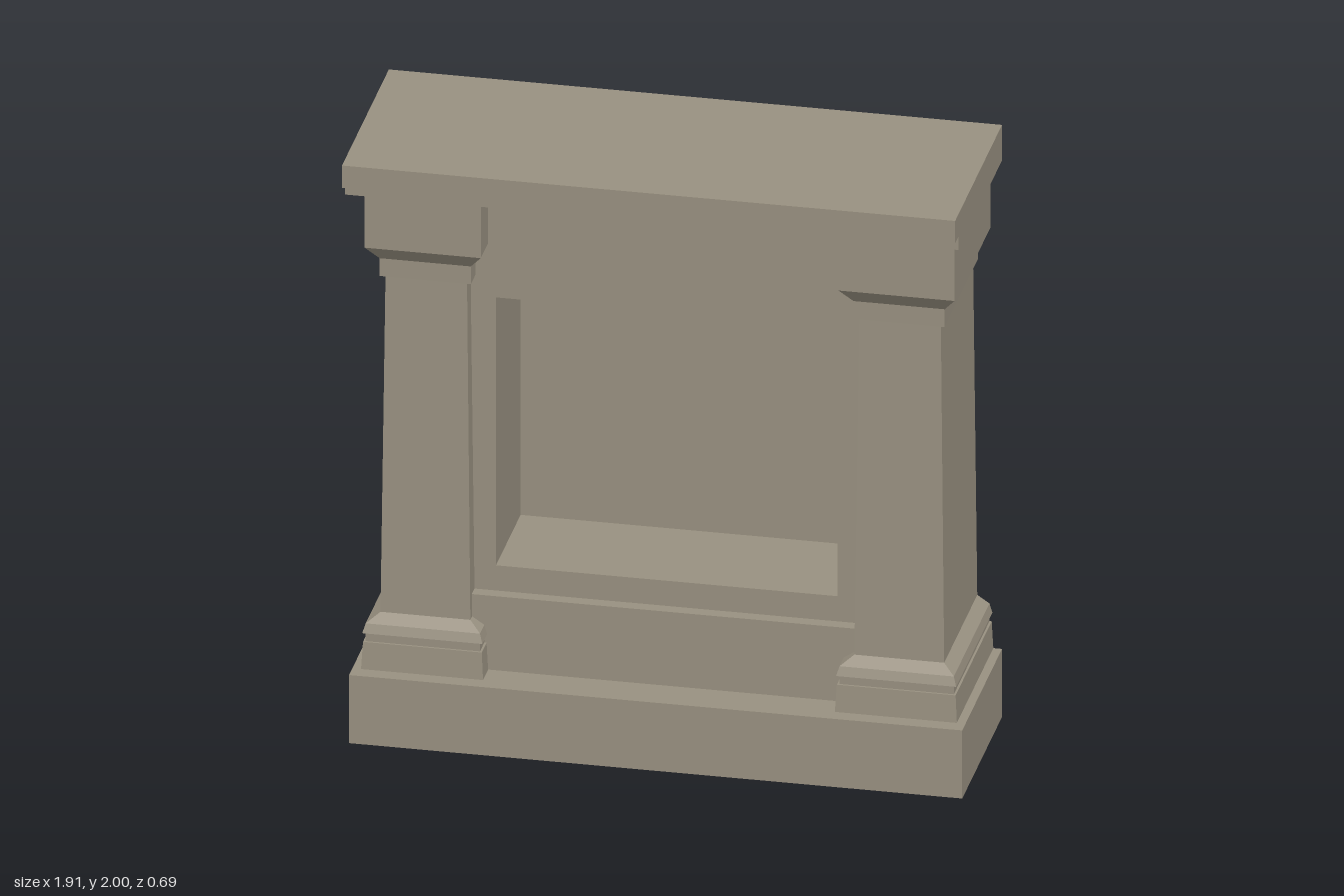
import * as THREE from 'three';

const BACK = -0.345;
const stone = new THREE.MeshStandardMaterial({ color: 0x989080, flatShading: true });

// Box given by its limits on each axis
function block(name, x0, x1, y0, y1, z0, z1) {
  const mesh = new THREE.Mesh(new THREE.BoxGeometry(x1 - x0, y1 - y0, z1 - z0), stone);
  mesh.name = name;
  mesh.position.set((x0 + x1) / 2, (y0 + y1) / 2, (z0 + z1) / 2);
  return mesh;
}

// Pilaster profile: [height, half width]; the front projects by the same rule
const PROFILE = [
  [0.23, 0.19], [0.32, 0.185], [0.32, 0.178], [0.35, 0.178], [0.35, 0.187],
  [0.38, 0.178], [0.405, 0.14], [1.54, 0.127], [1.54, 0.142], [1.6, 0.142],
  [1.65, 0.181], [1.84, 0.181], [1.87, 0.205], [1.88, 0.205],
];

// Stacked rectangular sections, all flush with the back plane
function pilasterGeometry() {
  const rings = PROFILE.map(([y, w]) => {
    const front = w + 0.006;
    return [[-w, y, BACK], [-w, y, front], [w, y, front], [w, y, BACK]];
  });
  const pos = [];
  for (let i = 0; i < rings.length - 1; i++) {
    for (let k = 0; k < 4; k++) {
      const n = (k + 1) % 4;
      const a = rings[i][k], b = rings[i][n], c = rings[i + 1][n], d = rings[i + 1][k];
      pos.push(...a, ...b, ...c, ...a, ...c, ...d);
    }
  }
  const geo = new THREE.BufferGeometry();
  geo.setAttribute('position', new THREE.Float32BufferAttribute(pos, 3));
  geo.computeVertexNormals();
  return geo;
}

// Wall with the rectangular firebox opening
function surroundGeometry(zBack, zFront) {
  const rect = (C, x, y0, y1) => new C().moveTo(-x, y0).lineTo(x, y0).lineTo(x, y1).lineTo(-x, y1).closePath();
  const shape = rect(THREE.Shape, 0.64, 0.23, 1.88);
  shape.holes.push(rect(THREE.Path, 0.532, 0.565, 1.47));
  const geo = new THREE.ExtrudeGeometry(shape, { depth: zFront - zBack, bevelEnabled: false });
  return geo.translate(0, 0, zBack);
}

export function createModel() {
  const group = new THREE.Group();
  group.name = 'fireplace';

  // Plinth and mantel shelf
  group.add(block('plinth', -0.955, 0.955, 0, 0.23, BACK, 0.245));
  group.add(block('shelfMoulding', -0.955, 0.955, 1.88, 1.925, BACK, 0.303));
  group.add(block('shelf', -0.955, 0.955, 1.925, 2, BACK, 0.35));

  // Surround, firebox back and the projecting panel below the opening
  const surround = new THREE.Mesh(surroundGeometry(-0.285, 0.08), stone);
  surround.name = 'surround';
  group.add(surround);
  group.add(block('fireboxBack', -0.64, 0.64, 0.23, 1.88, BACK, -0.285));
  group.add(block('lowerPanel', -0.64, 0.64, 0.23, 0.48, 0, 0.12));

  // Pilasters
  const geo = pilasterGeometry();
  for (const side of [-1, 1]) {
    const pilaster = new THREE.Mesh(geo, stone);
    pilaster.name = side > 0 ? 'leftPilaster' : 'rightPilaster';
    pilaster.position.x = side * 0.738;
    group.add(pilaster);
  }
  return group;
}
